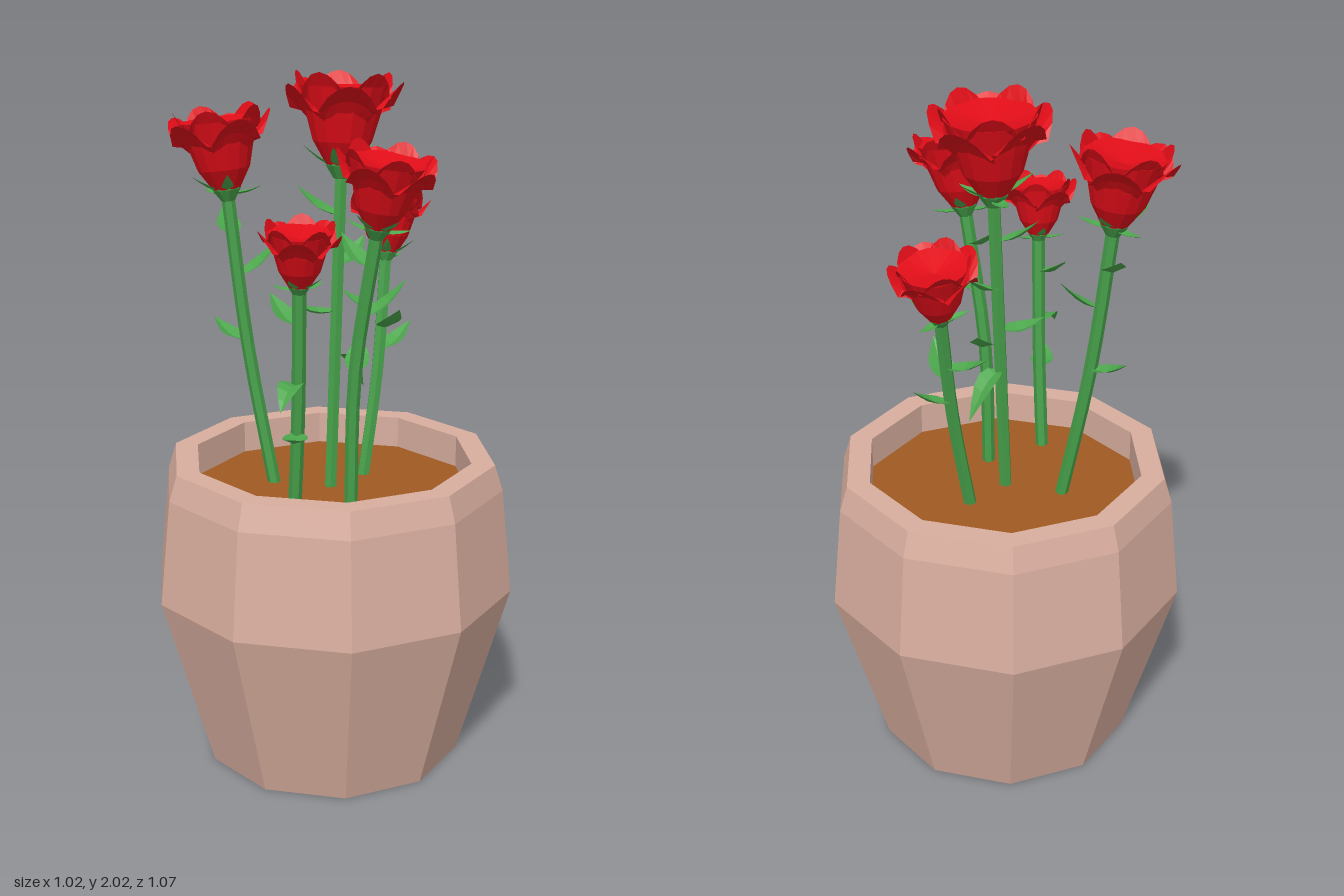
import * as THREE from 'three';

const mat = (color, side = THREE.FrontSide) =>
  new THREE.MeshStandardMaterial({ color, side, flatShading: true, roughness: 0.9 });

const clay = mat(0xd9ae9f);
const earth = mat(0xa05a22);
const stemGreen = mat(0x46a04a);
const leafGreen = mat(0x4ca64c, THREE.DoubleSide);
const red = mat(0xe00d18, THREE.DoubleSide);

function mesh(name, geometry, material) {
  const m = new THREE.Mesh(geometry, material);
  m.name = name;
  return m;
}

function lathe(points, sides) {
  return new THREE.LatheGeometry(points.map(([r, y]) => new THREE.Vector2(r, y)), sides);
}

// Grid over u = -1..1 and v = 0..1, bent by a rule
function patch(cols, rows, rule) {
  const g = new THREE.PlaneGeometry(2, 1, cols, rows);
  const p = g.attributes.position;
  for (let i = 0; i < p.count; i++) p.setXYZ(i, ...rule(p.getX(i), p.getY(i) + 0.5));
  g.computeVertexNormals();
  return g;
}

// Pointed blade growing along +z, folded at the midrib
function blade(length, width, rise, arch) {
  return patch(2, 5, (u, v) => {
    const w = width * Math.sin(Math.PI * Math.pow(v, 0.8)) + 0.002 * (1 - v);
    return [u * w, rise * v + arch * Math.sin(Math.PI * v) + Math.abs(u) * w * 0.35, v * length];
  });
}

// Petal wrapped round the bud, flaring to a lip with a soft point
function petal(angle, span, height, radius, flare) {
  return patch(6, 5, (u, v) => {
    const a = angle + u * span * (0.75 + 0.35 * Math.sin(Math.PI * v * 0.8));
    const lip = Math.max(0, v - 0.7) / 0.3;
    const r = 0.03 + (radius - 0.03) * Math.pow(v, 0.75) + flare * lip * (1 - 0.4 * u * u);
    const y = height * v - 0.07 * u * u * v * v * v - 0.012 * lip;
    return [r * Math.sin(a), y, r * Math.cos(a)];
  });
}

function makeHead(turn) {
  const head = new THREE.Group();
  head.name = 'roseHead';
  // Closed bud with a shallow dished top
  head.add(mesh('bud', lathe(
    [[0, 0], [0.045, 0.015], [0.085, 0.08], [0.105, 0.15], [0.128, 0.235], [0, 0.205]], 16), red));
  for (let i = 0; i < 5; i++) {
    const a = turn + (i * Math.PI * 2) / 5;
    head.add(mesh('innerPetal', petal(a, 0.62, 0.285, 0.125, 0.015), red));
    head.add(mesh('outerPetal', petal(a + 0.63, 0.6, 0.25 + 0.012 * (i % 2), 0.13, 0.04), red));
    const sepal = mesh('sepal', blade(0.115, 0.019, i % 2 ? 0.015 : 0.07, -0.012), leafGreen);
    sepal.rotation.y = a + 0.3;
    head.add(sepal);
  }
  head.add(mesh('calyx', lathe([[0, -0.03], [0.022, -0.025], [0.046, 0.012], [0.05, 0.03]], 8), stemGreen));
  return head;
}

// base: x, z in the soil; tip: stem end; bow: sideways bend of the stem; size: head scale
// leaves: [height, heading in degrees from +z towards +x, rise of the tip]
const roses = [
  { base: [0, 0.01], tip: [0, 1.74, -0.05], bow: 0, size: 0.98,
    leaves: [[1.46, 174, 0.07], [1.2, 169, -0.12], [1.6, -79, 0.08], [1.33, -49, 0.03]] },
  { base: [-0.16, 0.06], tip: [-0.29, 1.67, 0.09], bow: -0.015, size: 0.88,
    leaves: [[1.24, -99, 0.05], [1.55, -135, 0.07], [1.42, 145, 0.1]] },
  { base: [0.12, 0.1], tip: [0.207, 1.61, 0.115], bow: -0.027, size: 0.83,
    leaves: [[1.36, 139, 0.1], [1.5, -111, 0.08], [1.2, -156, 0.08]] },
  { base: [0.035, 0.27], tip: [0.09, 1.48, 0.325], bow: 0.005, size: 0.66,
    leaves: [[1.2, 9, -0.04], [1.37, -111, 0.07], [1.07, 24, 0.02]] },
  { base: [0.03, -0.13], tip: [0.025, 1.46, -0.27], bow: 0.012, size: 0.72,
    leaves: [[1.18, 163, 0.07], [1.3, -84, 0.05], [1.25, 53, 0.08]] },
];

function makeRose({ base, tip, bow, size, leaves }, index) {
  const rose = new THREE.Group();
  rose.name = 'rose';
  const foot = new THREE.Vector3(base[0], 0.8, base[1]);
  const end = new THREE.Vector3(...tip);
  const middle = foot.clone().lerp(end, 0.5);
  middle.x += bow;
  const curve = new THREE.CatmullRomCurve3([foot, middle, end]);
  rose.add(mesh('stem', new THREE.TubeGeometry(curve, 8, 0.019, 6), stemGreen));

  // Leaves sprout where the stem reaches each height
  const samples = curve.getPoints(80);
  for (const [y, heading, rise] of leaves) {
    const leaf = mesh('leaf', blade(0.128, 0.034, rise, rise > 0 ? -0.02 : 0.03), leafGreen);
    leaf.position.copy(samples.find((p) => p.y >= y));
    leaf.rotation.y = THREE.MathUtils.degToRad(heading);
    rose.add(leaf);
  }

  // Head follows the direction of the stem tip
  const head = makeHead(index * 0.37);
  head.position.copy(end);
  head.quaternion.setFromUnitVectors(new THREE.Vector3(0, 1, 0), curve.getTangent(1));
  head.scale.setScalar(size);
  rose.add(head);
  return rose;
}

export function createModel() {
  const model = new THREE.Group();
  model.name = 'pottedRoses';

  // Ten-sided pot with a thick rim
  model.add(mesh('pot', lathe(
    [[0, 0], [0.385, 0], [0.535, 0.53], [0.502, 0.84], [0.478, 0.915], [0.41, 0.915], [0.41, 0.8]], 10), clay));

  const soil = mesh('soil', new THREE.CircleGeometry(0.412, 10, Math.PI / 2), earth);
  soil.rotation.x = -Math.PI / 2;
  soil.position.y = 0.82;
  model.add(soil);

  roses.forEach((rose, i) => model.add(makeRose(rose, i)));
  return model;
}
